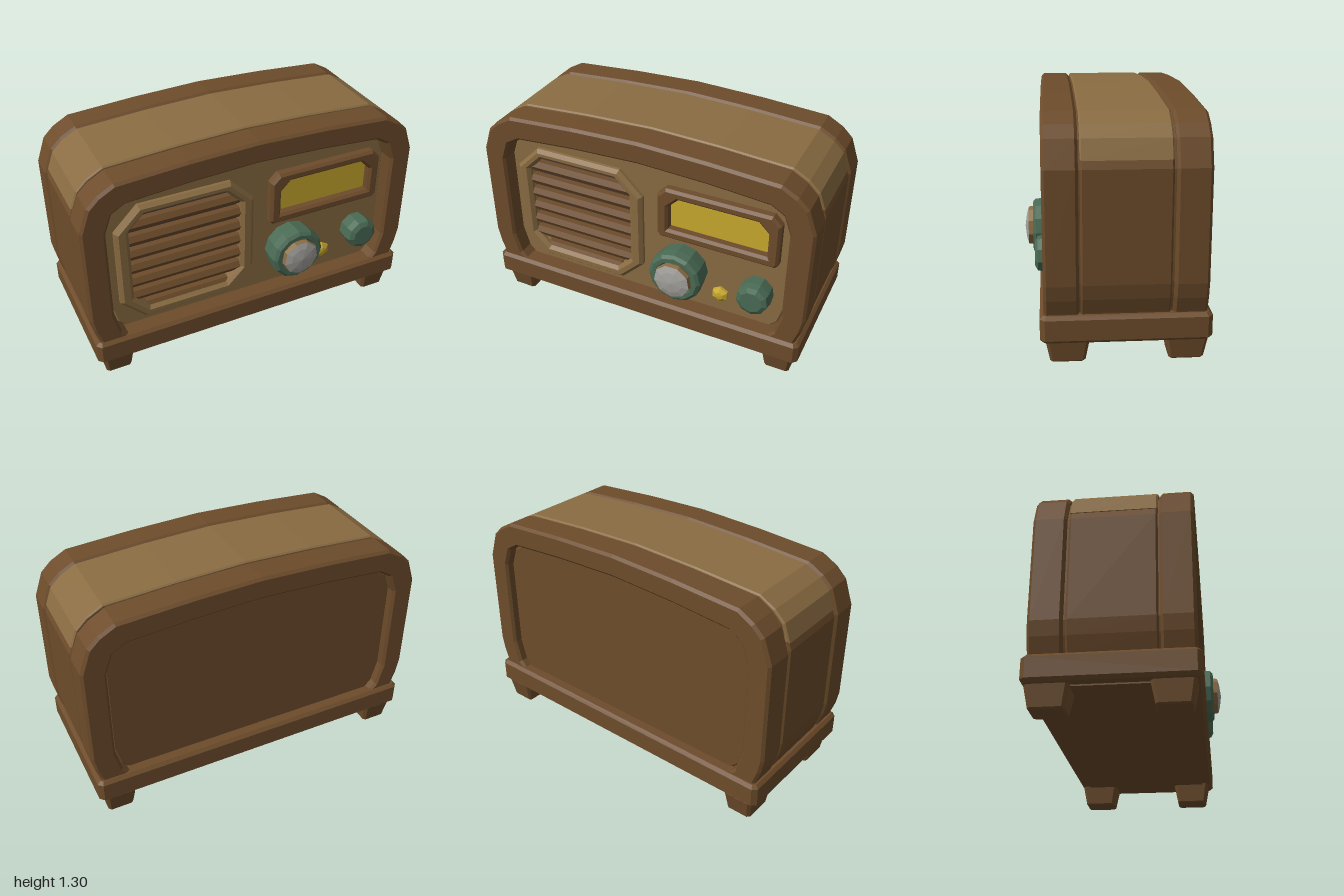
import * as THREE from 'three';

const mat = (color) => new THREE.MeshStandardMaterial({ color, flatShading: true });
const brown = mat(0x6d4c2b), tan = mat(0x8a6c42), green = mat(0x4a6b55);
const yellow = mat(0xc9a92c), silver = mat(0xa5a39e), dark = mat(0x443b3e);

// Mirror the +x half of an outline (bottom to top) into a closed one
const mirror = (half) => [...half, ...half.filter((p) => p[0] > 0).reverse().map(([x, y]) => [-x, y])];

// Rectangle with cut corners: cb at the bottom, ct at the top
const cutRect = (x0, x1, y0, y1, cb, ct) => [
  [x0 + cb, y0], [x1 - cb, y0], [x1, y0 + cb], [x1, y1 - ct],
  [x1 - ct, y1], [x0 + ct, y1], [x0, y1 - ct], [x0, y0 + cb],
].filter((p, i, a) => i === 0 || p[0] !== a[i - 1][0] || p[1] !== a[i - 1][1]);

const toVectors = (pts) => pts.map(([x, y]) => new THREE.Vector2(x, y));

// Scale an outline about the middle of the cabinet
const scaled = (pts, s) => pts.map(([x, y]) => [x * s, 0.7 + (y - 0.7) * s]);

// Bevelled slab of a given total thickness, starting at z = 0
const slabGeometry = (pts, thickness, bevel, holes = []) => {
  const shape = new THREE.Shape(toVectors(pts));
  shape.holes = holes.map((h) => new THREE.Path(toVectors(h)));
  return new THREE.ExtrudeGeometry(shape, {
    depth: thickness - 2 * bevel, bevelEnabled: bevel > 0, bevelThickness: bevel,
    bevelSize: bevel, bevelOffset: -bevel, bevelSegments: 1,
  }).translate(0, 0, bevel);
};

export function createModel() {
  const group = new THREE.Group();

  const add = (name, geometry, material, x = 0, y = 0, z = 0) => {
    const mesh = new THREE.Mesh(geometry, material);
    mesh.name = name;
    mesh.position.set(x, y, z);
    group.add(mesh);
    return mesh;
  };
  const slab = (name, pts, z0, z1, bevel, material, holes) =>
    add(name, slabGeometry(pts, z1 - z0, bevel, holes), material, 0, 0, z0);

  // Cabinet outlines
  const top = [[0.95, 1.15], [0.89, 1.208], [0.8, 1.258], [0.4, 1.284], [0, 1.298]];
  const outer = mirror([[0.94, 0.2], [0.958, 0.27], [0.985, 0.35], [1, 0.43], [1, 1.01], ...top]);
  const crown = mirror([[0.986, 1.05], ...top]);
  const opening = mirror([[0.78, 0.25], [0.83, 0.3], [0.865, 0.43], [0.865, 0.97],
    [0.825, 1.08], [0.75, 1.125], [0.4, 1.152], [0, 1.168]]);

  // Cabinet: inner core, wide middle, front and back rims
  slab('cabinetCore', scaled(outer, 0.975), -0.375, 0.25, 0, brown);
  slab('cabinetMiddle', scaled(outer, 0.995), -0.258, 0.192, 0.01, brown);
  slab('cabinetCrown', crown, -0.258, 0.192, 0.008, tan);
  slab('frontRim', outer, 0.2, 0.375, 0.015, brown, [opening]);
  slab('backRim', outer, -0.445, -0.27, 0.015, brown, [opening]);

  // Recessed front panel with cut-outs, and plain back panel
  const grilleHole = cutRect(-0.73, -0.08, 0.378, 1.003, 0.09, 0.09);
  const dialHole = cutRect(0.165, 0.745, 0.77, 0.978, 0, 0.06);
  slab('frontPanel', scaled(opening, 0.996), 0.24, 0.288, 0.008, tan, [grilleHole, dialHole]);
  slab('backPanel', scaled(opening, 0.996), -0.4, -0.36, 0.008, brown);

  // Speaker grille with six-sided slats
  slab('grilleBacking', cutRect(-0.76, -0.05, 0.35, 1.03, 0.1, 0.1), 0.24, 0.258, 0, dark);
  slab('grilleFrame', cutRect(-0.81, 0, 0.31, 1.062, 0.14, 0.14), 0.275, 0.333, 0.02, tan, [grilleHole]);
  for (let i = 0; i < 7; i++) {
    const y = 0.93 - i * 0.0935;
    const cut = Math.max(0, 0.07 - Math.min(y - 0.378, 1.003 - y));
    const slat = new THREE.CylinderGeometry(0.036, 0.036, 0.66 - 2 * cut, 6).rotateZ(Math.PI / 2);
    add('grilleSlat', slat, brown, -0.405, y, 0.282);
  }

  // Tuning dial
  slab('dialFrame', cutRect(0.1, 0.81, 0.71, 1.035, 0.02, 0.05), 0.275, 0.342, 0.015, brown, [dialHole]);
  slab('dialPlate', cutRect(0.14, 0.77, 0.75, 0.995, 0, 0.05), 0.245, 0.29, 0, yellow);

  // Knob from radius and depth pairs, turned to face the front
  const knob = (name, x, y, profile, sides, material) => {
    const geometry = new THREE.LatheGeometry(toVectors(profile), sides);
    geometry.rotateX(Math.PI / 2);
    add(name, geometry, material, x, y, 0);
  };
  knob('tuningKnob', 0.245, 0.512, [[0.15, 0.28], [0.16, 0.365], [0.158, 0.415],
    [0.14, 0.43], [0.115, 0.43], [0.105, 0.415], [0, 0.415]], 12, green);
  knob('tuningKnobCollar', 0.245, 0.512, [[0.1, 0.41], [0.112, 0.43], [0.108, 0.455]], 9, tan);
  knob('tuningKnobCap', 0.245, 0.512, [[0.108, 0.455], [0.07, 0.466], [0, 0.475]], 9, silver);
  knob('volumeKnob', 0.7, 0.5, [[0.09, 0.28], [0.098, 0.36], [0.092, 0.4], [0.065, 0.415], [0, 0.415]], 9, green);
  knob('indicatorButton', 0.48, 0.388, [[0.05, 0.28], [0.05, 0.305], [0.025, 0.32], [0, 0.323]], 6, yellow);

  // Plinth with bevelled edges and a thin plate below, laid flat
  const flat = (pts, thickness, bevel) => slabGeometry(pts, thickness, bevel).rotateX(-Math.PI / 2);
  add('plinth', flat(cutRect(-0.985, 0.985, -0.395, 0.47, 0.025, 0.025), 0.145, 0.018), brown, 0, 0.12, 0);
  add('undersidePlate', flat(cutRect(-0.92, 0.92, -0.33, 0.41, 0.02, 0.02), 0.02, 0), brown, 0, 0.112, 0);

  // Tapered feet with cut corners
  for (const x of [-0.86, 0.86]) {
    for (const z of [0.257, -0.345]) {
      const geometry = flat(cutRect(-0.091, 0.091, -0.113, 0.113, 0.018, 0.018), 0.13, 0.008);
      const p = geometry.attributes.position;
      for (let i = 0; i < p.count; i++) {
        const t = 1 - p.getY(i) / 0.13;
        p.setX(i, p.getX(i) * (1 - 0.2 * t));
        p.setZ(i, p.getZ(i) * (1 - 0.22 * t));
      }
      geometry.computeVertexNormals();
      add('foot', geometry, brown, x, 0, z);
    }
  }

  return group;
}
